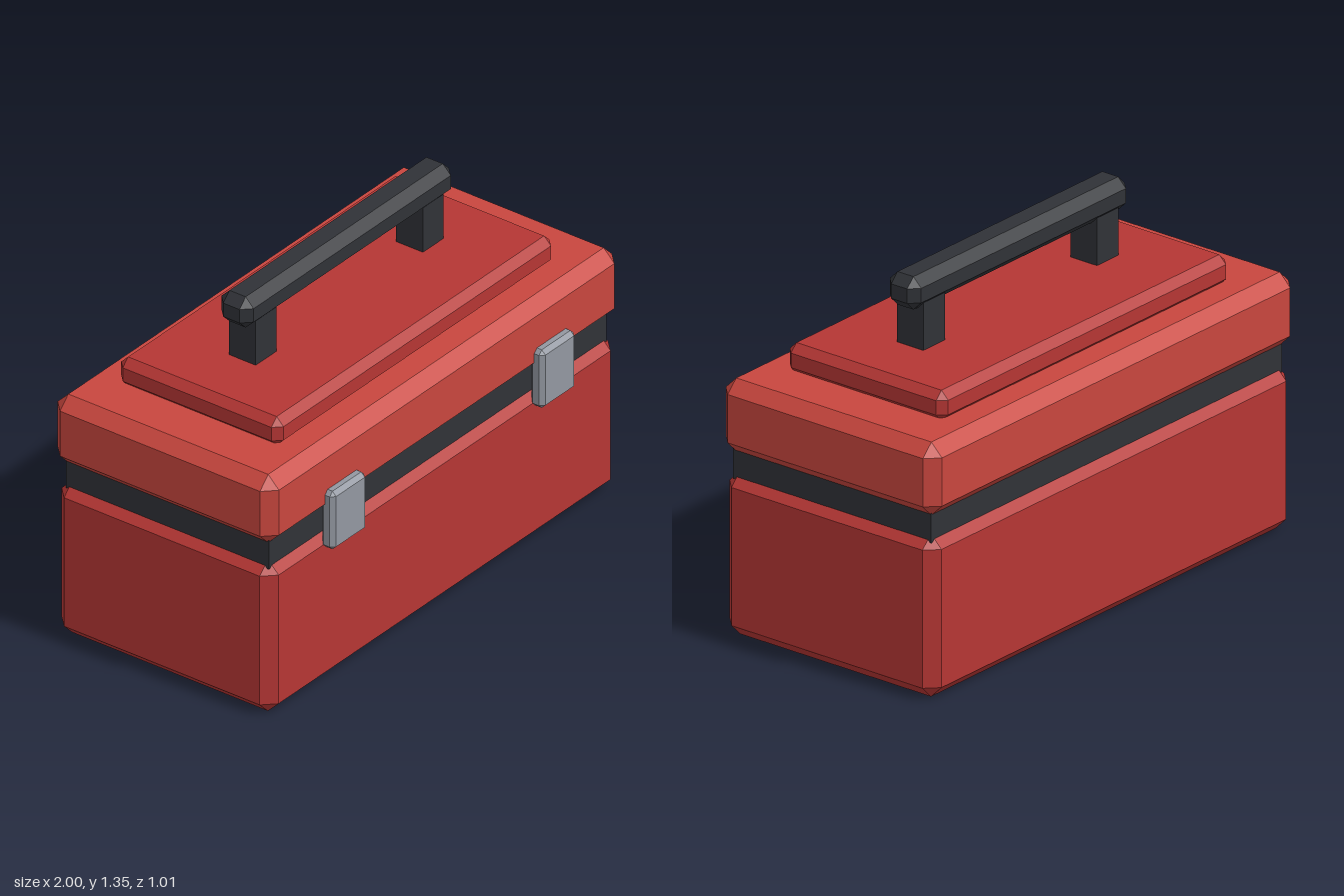
import * as THREE from 'three';
import { ConvexGeometry } from 'three/addons/geometries/ConvexGeometry.js';

const material = (color) => new THREE.MeshStandardMaterial({ color, flatShading: true });

// Box with flat chamfers of width b on every edge and corner
function chamferBox(w, h, d, b) {
  const points = [];
  for (const x of [-1, 1]) for (const y of [-1, 1]) for (const z of [-1, 1]) {
    for (let axis = 0; axis < 3; axis++) {
      // each corner becomes three points, one on each adjoining face
      const inset = [b, b, b];
      inset[axis] = 0;
      points.push(new THREE.Vector3(
        x * (w / 2 - inset[0]), y * (h / 2 - inset[1]), z * (d / 2 - inset[2])));
    }
  }
  return new ConvexGeometry(points);
}

export function createModel() {
  const group = new THREE.Group();
  const red = material(0xb53634);
  const lidRed = material(0xc8463e);
  const dark = material(0x303237);
  const steel = material(0x9297a0);

  // Adds a box spanning the given ranges; bevel 0 gives a plain box
  function addBox(name, [x0, x1], [y0, y1], [z0, z1], bevel, mat) {
    const size = [x1 - x0, y1 - y0, z1 - z0];
    const geometry = bevel ? chamferBox(...size, bevel) : new THREE.BoxGeometry(...size);
    const mesh = new THREE.Mesh(geometry, mat);
    mesh.name = name;
    mesh.position.set((x0 + x1) / 2, (y0 + y1) / 2, (z0 + z1) / 2);
    group.add(mesh);
  }

  // Case, seam and lid
  addBox('body', [-0.99, 0.99], [0, 0.617], [-0.494, 0.457], 0.047, red);
  addBox('seam', [-0.96, 0.96], [0.59, 0.72], [-0.462, 0.427], 0, dark);
  addBox('lid', [-1, 1], [0.693, 0.97], [-0.504, 0.466], 0.047, lidRed);
  addBox('topPanel', [-0.79, 0.79], [0.955, 1.07], [-0.374, 0.337], 0.03, red);

  // Carrying handle
  addBox('handleGrip', [-0.595, 0.595], [1.227, 1.352], [-0.089, 0.052], 0.035, dark);

  // Paired posts and latches
  for (const [side, s] of [['left', 1], ['right', -1]]) {
    const span = (a, b) => (s > 0 ? [a, b] : [-b, -a]);
    addBox(side + 'HandlePost', span(0.416, 0.534), [1.04, 1.25], [-0.077, 0.041], 0, dark);
    addBox(side + 'Latch', span(0.497, 0.692), [0.557, 0.793], [0.443, 0.503], 0.016, steel);
  }
  return group;
}
